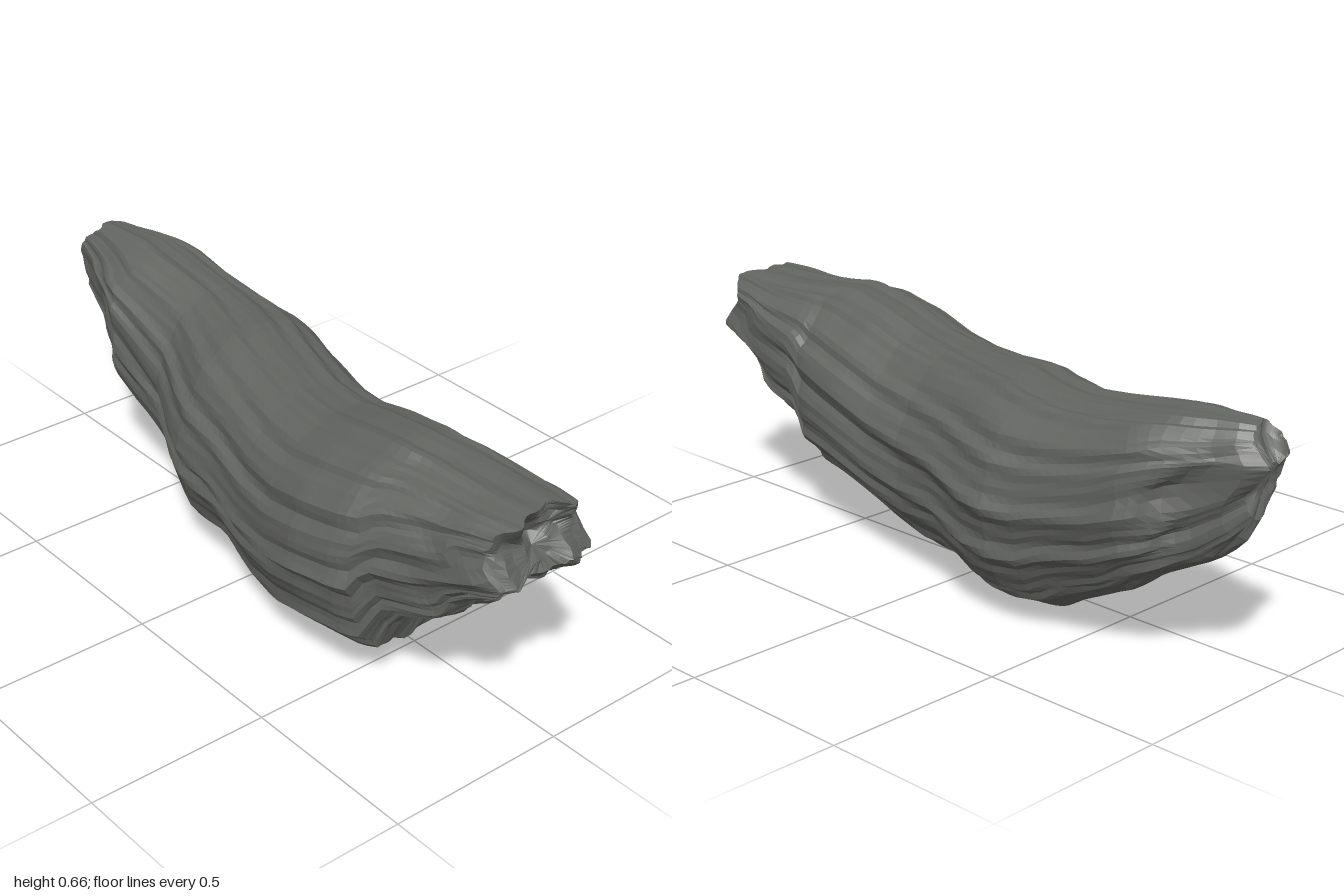
import * as THREE from 'three';

// Hull limits along the length: x, top y, bottom y, back z, front z
const SECTIONS = [
  [-0.95, 0.645, 0.40, -0.13, 0.00], [-0.92, 0.65, 0.35, -0.16, 0.005],
  [-0.85, 0.65, 0.28, -0.19, 0.02], [-0.76, 0.65, 0.235, -0.255, 0.06],
  [-0.69, 0.64, 0.205, -0.29, 0.10], [-0.60, 0.63, 0.14, -0.30, 0.105],
  [-0.45, 0.615, 0.075, -0.32, 0.12], [-0.38, 0.615, 0.03, -0.33, 0.15],
  [-0.29, 0.615, 0.015, -0.342, 0.195], [-0.20, 0.62, 0.003, -0.325, 0.23],
  [-0.04, 0.605, 0.04, -0.275, 0.25], [0.12, 0.60, 0.015, -0.235, 0.285],
  [0.26, 0.61, 0.035, -0.22, 0.315], [0.40, 0.645, 0.075, -0.21, 0.338],
  [0.55, 0.672, 0.10, -0.18, 0.33], [0.60, 0.67, 0.115, -0.165, 0.31],
  [0.635, 0.665, 0.225, -0.16, 0.285], [0.79, 0.655, 0.285, -0.135, 0.24],
  [0.85, 0.655, 0.33, -0.125, 0.235], [0.87, 0.655, 0.39, -0.12, 0.23],
  [0.95, 0.655, 0.44, -0.10, 0.21],
];
const SIDES = 96;
const STEPS = 64;
const END = 0.95;

// Broken end outlines: [height, offset of the end]
const LEFT_END = [[0.38, 0.02], [0.48, 0.01], [0.56, -0.04], [0.6, 0], [0.64, 0.01]];
const RIGHT_END = [[0.40, -0.03], [0.45, -0.02], [0.5, 0.04], [0.58, -0.02], [0.65, 0.01]];

// Linear interpolation in a table keyed by its first column
function sample(table, key) {
  const last = table.length - 1;
  if (key <= table[0][0]) return table[0].slice(1);
  if (key >= table[last][0]) return table[last].slice(1);
  const i = table.findIndex((row) => row[0] > key);
  const a = table[i - 1], b = table[i];
  const f = (key - a[0]) / (b[0] - a[0]);
  return a.slice(1).map((v, k) => v + (b[k + 1] - v) * f);
}

// Long grooves that wander slowly around the hull
function ridge(angle, x) {
  const a = angle + 0.2 * Math.sin(2.3 * x + 0.5);
  return 0.3 * Math.sin(7 * a + 1.3 * Math.sin(2 * a) + 0.8 * x)
    + 0.5 * Math.sin(17 * a + 1.1 * x + 0.8 * Math.sin(3 * a))
    + 0.3 * Math.sin(29 * a - 1.6 * x + 0.7);
}

function hullPoint(x, angle, shrink) {
  const [top, bottom, back, front] = sample(SECTIONS, x);
  const c = Math.cos(angle), s = Math.sin(angle);
  const end = THREE.MathUtils.smoothstep(Math.abs(x), 0.45, 0.9);
  // oval in the middle, squarer underneath towards the ends
  const power = 1 - end * (s < 0 ? 0.4 : 0.4 - 0.15 * s);
  const square = (v) => Math.sign(v) * Math.abs(v) ** power;
  const depth = 0.05 - 0.02 * Math.max(0, s);
  const r = shrink * (1 - 0.6 * depth + depth * ridge(angle, x));
  // the keel leans forward past the middle
  const lean = 0.08 * THREE.MathUtils.smoothstep(x, -0.1, 0.3) * Math.max(0, -s) ** 4 * (1 - end);
  const y = Math.max(0, (top + bottom) / 2 + (top - bottom) / 2 * square(s) * r);
  const z = (front + back) / 2 + (front - back) / 2 * square(c) * r + lean;
  // splintered ends
  const splinter = 0.014 * Math.sin(34 * z + 5 * y) + 0.01 * Math.sin(74 * z - 43 * y);
  const offset = sample(x < 0 ? LEFT_END : RIGHT_END, y)[0];
  return [x + end * (offset + splinter), y, z];
}

// Rings from one closed end to the other
function hullGeometry() {
  const rings = [];
  const capScales = [0, 0.25, 0.5, 0.75, 0.9];
  for (const k of capScales) rings.push([-END, k]);
  for (let i = 0; i <= STEPS; i++) rings.push([END * (2 * i / STEPS - 1), 1]);
  for (const k of [...capScales].reverse()) rings.push([END, k]);

  const positions = [], indices = [];
  for (const [x, k] of rings) {
    for (let j = 0; j < SIDES; j++) positions.push(...hullPoint(x, j / SIDES * Math.PI * 2, k));
  }
  for (let i = 0; i < rings.length - 1; i++) {
    for (let j = 0; j < SIDES; j++) {
      const n = (j + 1) % SIDES;
      const a = i * SIDES + j, b = i * SIDES + n, c = a + SIDES, d = b + SIDES;
      indices.push(a, c, b, b, c, d);
    }
  }
  const geometry = new THREE.BufferGeometry();
  geometry.setAttribute('position', new THREE.Float32BufferAttribute(positions, 3));
  geometry.setIndex(indices);
  geometry.computeVertexNormals();
  return geometry;
}

export function createModel() {
  const stone = new THREE.MeshStandardMaterial({ color: 0x626460, flatShading: true });
  stone.name = 'dark grey stone';
  const rock = new THREE.Mesh(hullGeometry(), stone);
  rock.name = 'rock';
  const group = new THREE.Group();
  group.name = 'layeredRock';
  group.add(rock);
  return group;
}
